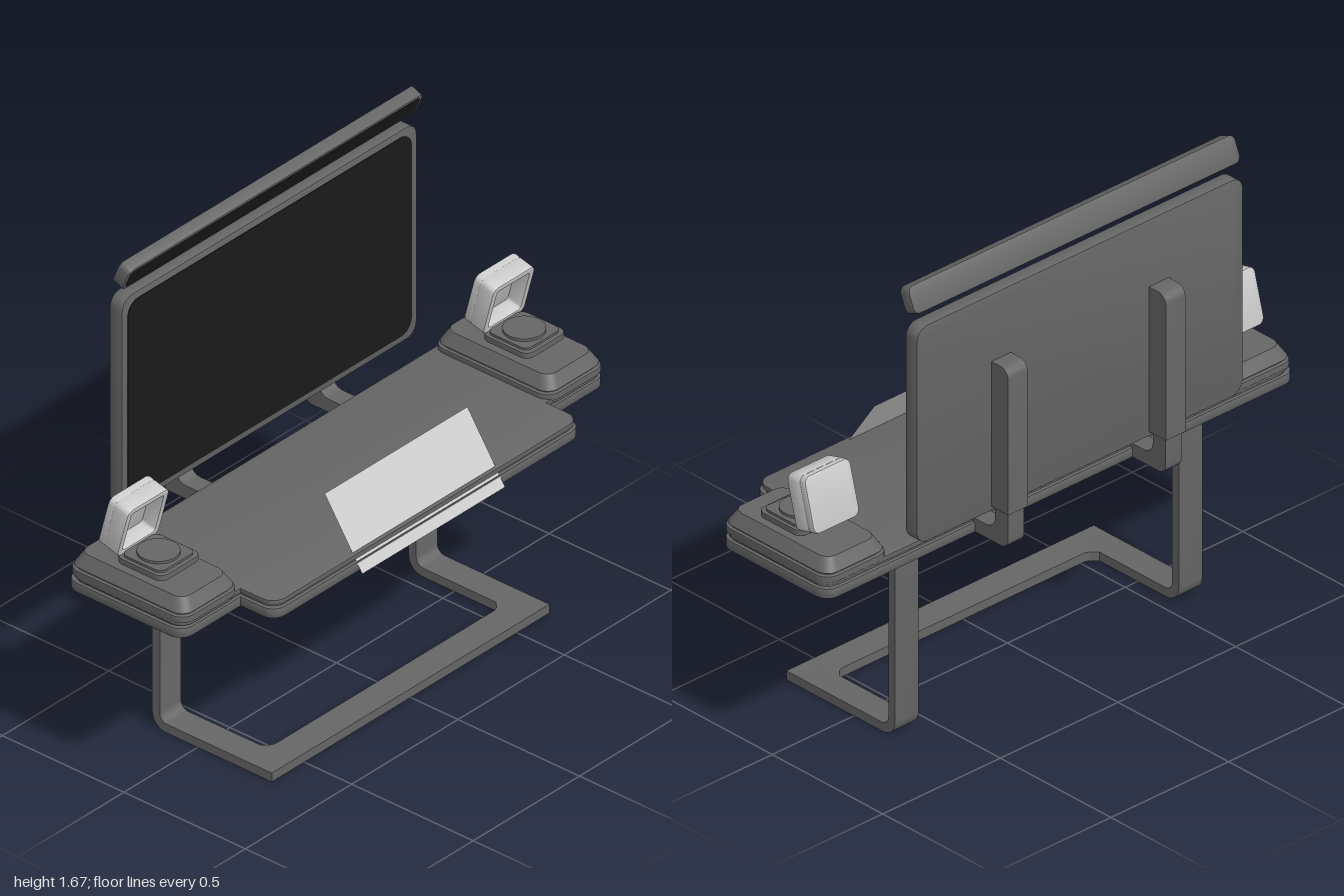
import * as THREE from 'three';
import { toCreasedNormals } from 'three/addons/utils/BufferGeometryUtils.js';

const material = (color) => new THREE.MeshStandardMaterial({ color });
const dark = material(0x666666);
const black = material(0x1a1a1a);
const light = material(0xcccccc);
const sheetMaterial = material(0xcccccc);
sheetMaterial.side = THREE.DoubleSide;

// Closed outline from [x, y, cornerRadius] points
function outline(points, Type = THREE.Shape) {
  const shape = new Type();
  points.forEach(([x, y, r = 0], i) => {
    const toward = ([px, py]) => {
      const d = Math.hypot(px - x, py - y);
      return [x + (px - x) * r / d, y + (py - y) * r / d];
    };
    const a = toward(points[(i + points.length - 1) % points.length]);
    const b = toward(points[(i + 1) % points.length]);
    if (i === 0) shape.moveTo(...a); else shape.lineTo(...a);
    if (r > 0) {
      // near-circular corner
      const k = 0.55;
      shape.bezierCurveTo(a[0] + (x - a[0]) * k, a[1] + (y - a[1]) * k,
        b[0] + (x - b[0]) * k, b[1] + (y - b[1]) * k, b[0], b[1]);
    }
  });
  shape.closePath();
  return shape;
}

const rect = (w, h, r, Type) => outline([
  [-w / 2, -h / 2, r], [w / 2, -h / 2, r], [w / 2, h / 2, r], [-w / 2, h / 2, r]], Type);

// Extrusion centred on z, with an optional bevel kept inside the depth
function extrude(shape, depth, bevel = 0) {
  const g = new THREE.ExtrudeGeometry(shape, {
    depth: depth - 2 * bevel, curveSegments: 6, bevelEnabled: bevel > 0,
    bevelThickness: bevel, bevelSize: bevel, bevelOffset: -bevel, bevelSegments: 2 });
  g.translate(0, 0, -depth / 2 + bevel);
  return toCreasedNormals(g, 0.5);
}

function add(parent, name, geometry, mat, x = 0, y = 0, z = 0) {
  const mesh = new THREE.Mesh(geometry, mat);
  mesh.name = name;
  mesh.position.set(x, y, z);
  parent.add(mesh);
  return mesh;
}

// Horizontal slab from y0 to y1
function slab(parent, name, shape, y0, y1, x = 0, z = 0, bevel = 0) {
  return add(parent, name, extrude(shape, y1 - y0, bevel).rotateX(-Math.PI / 2), dark, x, (y0 + y1) / 2, z);
}

// Side profile in (z, y) extruded across x
const sideProfile = (points, width) => extrude(outline(points), width).rotateY(-Math.PI / 2);

// Slab whose top is narrowed by an inset
function taperedSlab(parent, name, w, d, r, inset, y0, y1, x, z) {
  const h = y1 - y0;
  let g = new THREE.ExtrudeGeometry(rect(w, d, r), { depth: h, bevelEnabled: false, curveSegments: 6 });
  const p = g.attributes.position;
  for (let i = 0; i < p.count; i++) {
    if (p.getZ(i) > h / 2) {
      p.setX(i, p.getX(i) * (1 - 2 * inset / w));
      p.setY(i, p.getY(i) * (1 - 2 * inset / d));
    }
  }
  g.computeVertexNormals();
  g = toCreasedNormals(g.rotateX(-Math.PI / 2), 0.5);
  return add(parent, name, g, dark, x, y0, z);
}

// Stepped desk outline, shrunk by e
function deskOutline(e) {
  const o = 1 - e, m = 0.725 - e, back = 0.245 - e, side = -0.24 + e, front = -0.38 + e;
  return outline([[-o, back, 0.05], [-o, side, 0.05], [-m, side], [-m, front, 0.05],
    [m, front, 0.05], [m, side], [o, side, 0.05], [o, back, 0.05]]);
}

function addPod(parent, s) {
  const pod = new THREE.Group();
  pod.name = s > 0 ? 'leftPod' : 'rightPod';
  pod.position.x = s * 0.86;
  parent.add(pod);
  // stepped housing
  slab(pod, 'podBase', rect(0.262, 0.47, 0.05), 0.69, 0.705);
  slab(pod, 'podBand', rect(0.274, 0.487, 0.05), 0.703, 0.727, 0, 0, 0.004);
  slab(pod, 'podGroove', rect(0.25, 0.46, 0.045), 0.725, 0.74);
  taperedSlab(pod, 'podTop', 0.262, 0.475, 0.045, 0.025, 0.735, 0.778, 0, 0);
  // turntable
  slab(pod, 'standFoot', rect(0.15, 0.16, 0.02), 0.775, 0.792, 0, 0.02);
  slab(pod, 'standPlate', rect(0.19, 0.195, 0.03), 0.79, 0.812, 0, 0.02, 0.004);
  slab(pod, 'standCap', rect(0.165, 0.165, 0.025), 0.81, 0.82, 0, 0.02);
  add(pod, 'dial', toCreasedNormals(new THREE.CylinderGeometry(0.068, 0.068, 0.012, 32), 0.5), dark, 0, 0.823, 0.02);
  // tilted box with a recessed front
  const box = new THREE.Group();
  box.name = 'tiltedBox';
  box.position.set(0, 0.912, -0.083);
  box.rotation.x = 0.26;
  pod.add(box);
  const frame = rect(0.195, 0.195, 0.025);
  frame.holes.push(rect(0.152, 0.152, 0.012, THREE.Path));
  add(box, 'boxFrame', extrude(frame, 0.06, 0.004), light, 0, 0, 0.0125);
  add(box, 'boxBack', extrude(rect(0.195, 0.195, 0.025), 0.03, 0.008), light, 0, 0, -0.0275);
}

export function createModel() {
  const model = new THREE.Group();
  model.name = 'workstation';

  // Desk top in layers with a thin groove
  slab(model, 'deskBase', deskOutline(0), 0.65, 0.685, 0, 0, 0.003);
  slab(model, 'deskGroove', deskOutline(0.012), 0.684, 0.694);
  slab(model, 'deskTop', deskOutline(0.006), 0.693, 0.71, 0, 0, 0.003);

  // Leaning sheet on the front edge
  const sheet = add(model, 'sheet', new THREE.PlaneGeometry(0.672, Math.hypot(0.23, 0.155)),
    sheetMaterial, 0, 0.765, 0.3225);
  sheet.rotation.x = -Math.atan2(0.155, 0.23);

  // Monitor and light bar
  add(model, 'monitorCase', extrude(rect(1.385, 0.775, 0.045), 0.052, 0.003), dark, 0, 1.152, -0.302);
  add(model, 'monitorScreen', extrude(rect(1.335, 0.727, 0.05), 0.004), black, 0, 1.152, -0.2755);
  const bar = new THREE.Group();
  bar.name = 'lightBar';
  bar.position.set(0, 1.622, -0.283);
  bar.rotation.x = 0.4;
  model.add(bar);
  add(bar, 'barCase', extrude(rect(1.385, 0.092, 0.022), 0.044, 0.002), dark);
  add(bar, 'barLens', extrude(rect(1.36, 0.07, 0.015), 0.004), black, 0, 0, 0.0215);

  for (const s of [1, -1]) {
    addPod(model, s);

    // Monitor bracket and its curved arm
    add(model, 'monitorBracket', sideProfile(
      [[-0.326, 0.78], [-0.404, 0.78], [-0.404, 1.3, 0.035], [-0.326, 1.3]], 0.083), dark, s * 0.335);
    add(model, 'monitorArm', sideProfile(
      [[-0.22, 0.652], [-0.395, 0.652, 0.03], [-0.395, 0.79], [-0.337, 0.79],
        [-0.337, 0.7, 0.04], [-0.22, 0.7]], 0.068), dark, s * 0.335);

    // Leg bending into the floor frame
    add(model, 'leg', sideProfile(
      [[0.305, 0], [-0.187, 0, 0.055], [-0.187, 0.652], [-0.156, 0.652],
        [-0.156, 0.032, 0.03], [0.305, 0.032]], 0.1), dark, s * 0.603);
  }

  // Front crossbar of the floor frame
  slab(model, 'floorCrossbar', outline([[-0.555, -0.305], [0.555, -0.305], [0.555, -0.17],
    [0.525, -0.2, 0.015], [-0.525, -0.2, 0.015], [-0.555, -0.17]]), 0, 0.032);
  return model;
}
